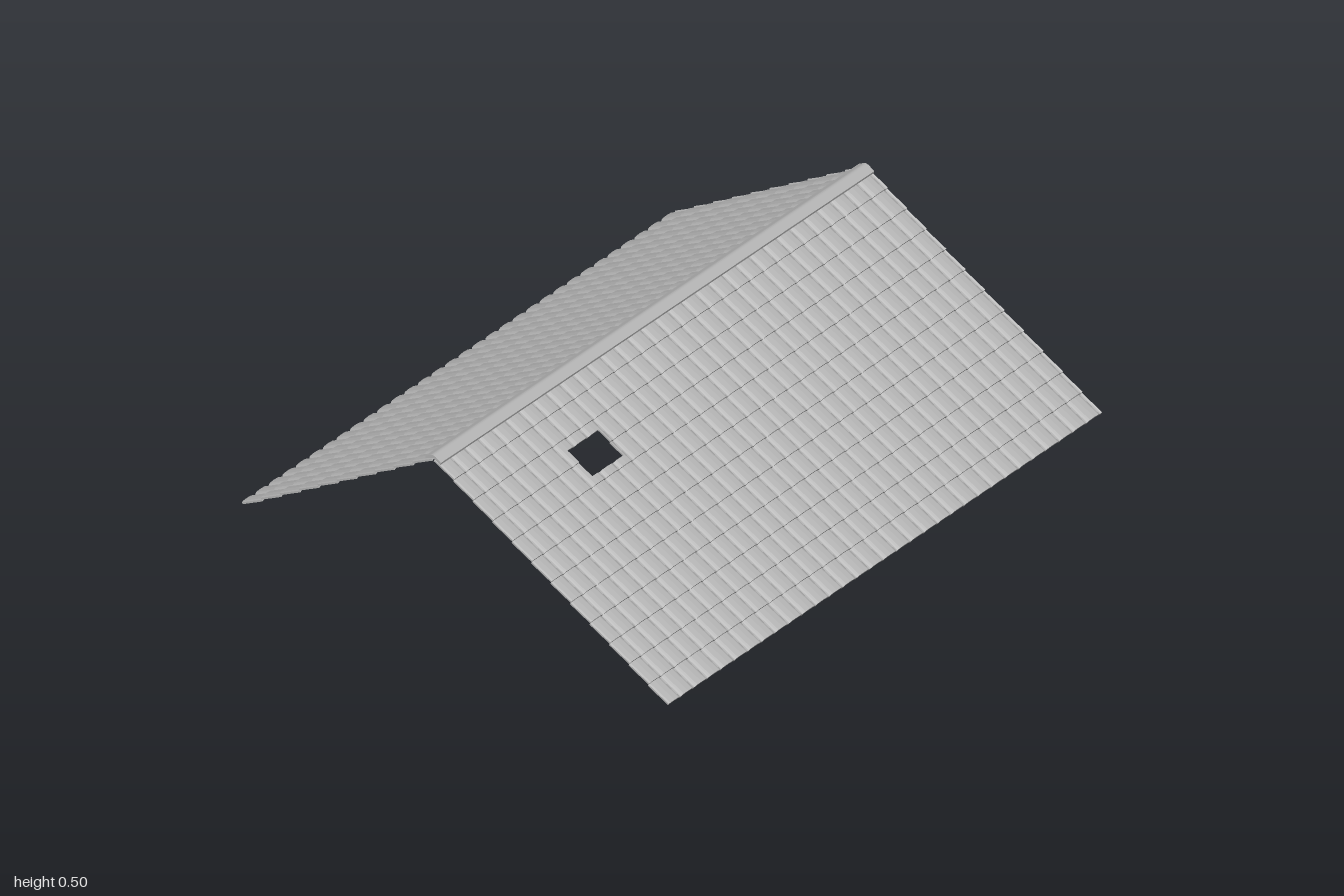
import * as THREE from 'three';

const COLUMNS = 32, PITCH = 2 / COLUMNS;
const THICK = 0.006, ROLL = 0.007, STEP = 0.006;
const RIDGE = { z: -0.085, y: 0.48 };
// one tile column: wide low crown, then a narrow valley (u across the column, height 0..1)
const PROFILE = [[0, 0.55], [0.1, 0.85], [0.4, 1], [0.7, 0.85], [0.8, 0.5], [0.86, 0], [0.94, 0]];

function heightAt(x) {
  const u = ((((x + 1) / PITCH) % 1) + 1) % 1;
  const pts = [...PROFILE, [1, PROFILE[0][1]]];
  for (let i = 0; i < pts.length - 1; i++) {
    const [a, ha] = pts[i], [b, hb] = pts[i + 1];
    if (u <= b) return ROLL * (ha + (hb - ha) * (u - a) / (b - a));
  }
  return 0;
}

// sample positions across a stretch of the roof
function samples(x0, x1) {
  const xs = [x0];
  for (let c = 0; c < COLUMNS; c++) {
    for (const [u] of PROFILE) {
      const x = -1 + (c + u) * PITCH;
      if (x > x0 + 1e-4 && x < x1 - 1e-4) xs.push(x);
    }
  }
  return [...xs, x1];
}

// closed corrugated sheet between slope fractions s0 and s1 of one course
function courseGeometry(slope, row, rows, s0, s1, x0, x1) {
  const dz = RIDGE.z - slope.z, dy = RIDGE.y - slope.y, len = Math.hypot(dz, dy);
  const side = Math.sign(slope.z), nz = side * dy / len, ny = Math.abs(dz) / len;
  const point = (x, s, top) => {
    const t = s * rows - row;
    const h = heightAt(x) + STEP * (1 - t) + (top ? THICK : 0);
    return [x, slope.y + dy * s + ny * h, slope.z + dz * s + nz * h];
  };
  const pos = [];
  const quad = (a, b, c, d) => {
    const q = side > 0 ? [a, b, c, a, c, d] : [a, c, b, a, d, c];
    for (const p of q) pos.push(...p);
  };
  const xs = samples(x0, x1);
  for (let i = 0; i < xs.length - 1; i++) {
    const a = xs[i], b = xs[i + 1];
    quad(point(a, s0, 1), point(b, s0, 1), point(b, s1, 1), point(a, s1, 1));
    quad(point(a, s1, 0), point(b, s1, 0), point(b, s0, 0), point(a, s0, 0));
    quad(point(a, s0, 0), point(b, s0, 0), point(b, s0, 1), point(a, s0, 1));
    quad(point(b, s1, 0), point(a, s1, 0), point(a, s1, 1), point(b, s1, 1));
  }
  quad(point(x1, s0, 0), point(x1, s1, 0), point(x1, s1, 1), point(x1, s0, 1));
  quad(point(x0, s1, 0), point(x0, s0, 0), point(x0, s0, 1), point(x0, s1, 1));
  const g = new THREE.BufferGeometry();
  g.setAttribute('position', new THREE.Float32BufferAttribute(pos, 3));
  g.computeVertexNormals();
  return g;
}

function buildSlope(name, slope, rows, material, hole) {
  const group = new THREE.Group();
  group.name = name;
  const add = (...args) => {
    const mesh = new THREE.Mesh(courseGeometry(slope, ...args), material);
    mesh.name = 'tileCourse';
    group.add(mesh);
  };
  for (let r = 0; r < rows; r++) {
    const s0 = r / rows, s1 = (r + 1) / rows;
    if (!hole || hole.s1 <= s0 || hole.s0 >= s1) {
      add(r, rows, s0, s1, -1, 1);
      continue;
    }
    // courses interrupted by the opening
    const h0 = Math.max(s0, hole.s0), h1 = Math.min(s1, hole.s1);
    add(r, rows, s0, s1, -1, hole.x0);
    add(r, rows, s0, s1, hole.x1, 1);
    if (h0 > s0) add(r, rows, s0, h0, hole.x0, hole.x1);
    if (h1 < s1) add(r, rows, h1, s1, hole.x0, hole.x1);
  }
  return group;
}

export function createModel() {
  const model = new THREE.Group();
  model.name = 'tiledRoof';
  const tile = new THREE.MeshStandardMaterial({ color: 0xb4b4b4 });
  tile.name = 'tileGrey';

  const front = { z: 0.813, y: -0.005 }, back = { z: -0.811, y: 0.004 };
  const toS = z => (front.z - z) / (front.z - RIDGE.z);
  const hole = { x0: -0.605, x1: -0.46, s0: toS(0.19), s1: toS(0.095) };
  model.add(buildSlope('frontSlope', front, 12, tile, hole));
  model.add(buildSlope('backSlope', back, 10, tile));

  // ridge cap: bent strip along the top
  const cap = new THREE.Shape();
  cap.moveTo(-0.028, -0.022);
  cap.lineTo(-0.03, -0.014);
  cap.lineTo(-0.01, -0.002);
  cap.quadraticCurveTo(0, 0.003, 0.01, -0.002);
  cap.lineTo(0.03, -0.014);
  cap.lineTo(0.028, -0.022);
  cap.lineTo(0, -0.009);
  cap.closePath();
  const capGeo = new THREE.ExtrudeGeometry(cap, { depth: 2, bevelEnabled: false, curveSegments: 6 });
  capGeo.translate(0, 0, -1);
  capGeo.rotateY(Math.PI / 2);
  const ridge = new THREE.Mesh(capGeo, tile);
  ridge.name = 'ridgeCap';
  ridge.position.set(0, 0.503, RIDGE.z);
  model.add(ridge);
  return model;
}
